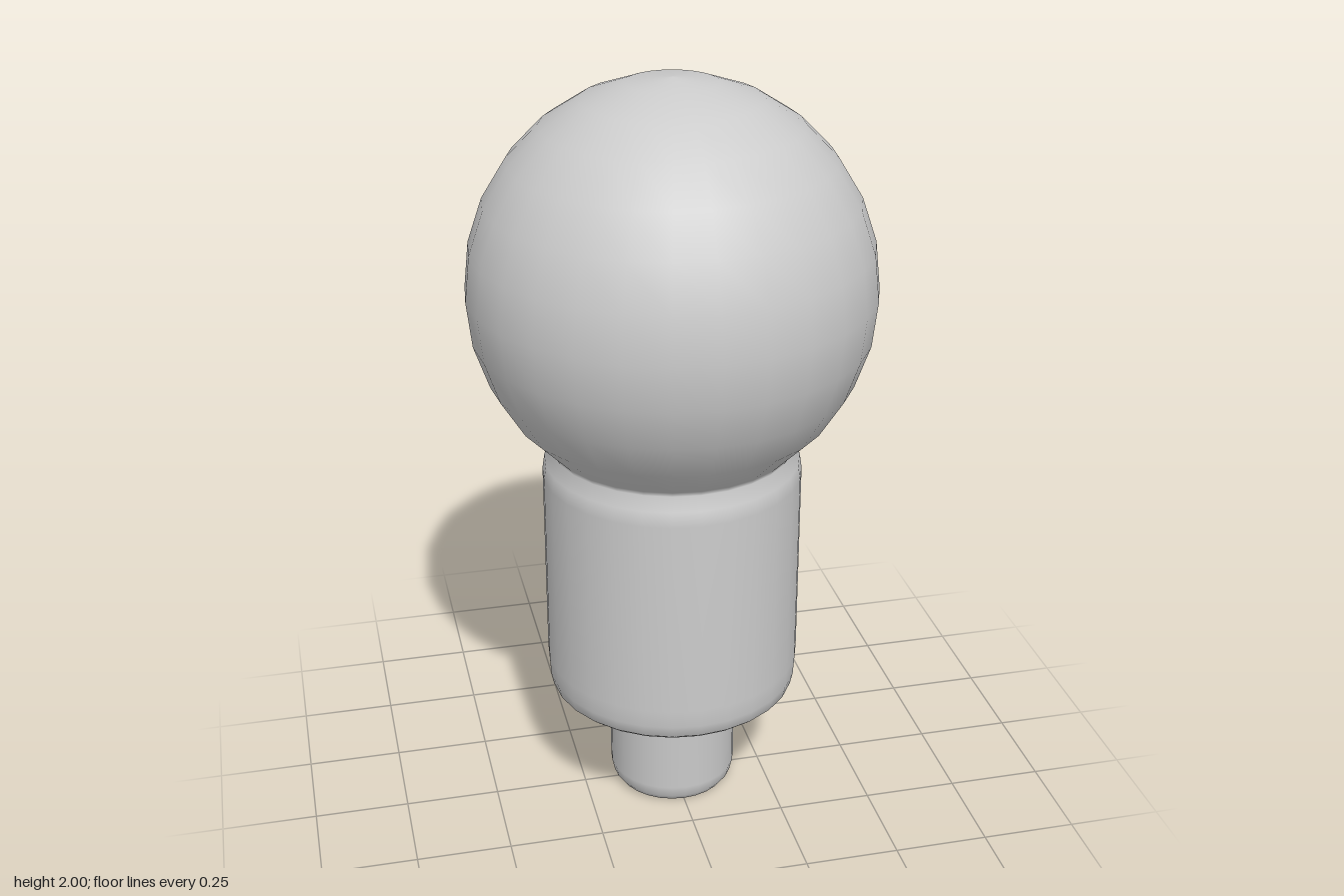
import * as THREE from 'three';

const SIDES = 28;

export function createModel() {
  const group = new THREE.Group();
  group.name = 'ballHeadedPin';

  // Peg with rounded foot, and the stepped underside of the barrel
  const peg = [
    [0, 0.005], [0.13, 0.005], [0.152, 0.01], [0.165, 0.028], [0.172, 0.06],
    [0.172, 0.24], [0.18, 0.28], [0.197, 0.307], [0.24, 0.325],
  ];

  // Barrel with rounded ends
  const barrel = [
    [0.315, 0.325], [0.33, 0.338], [0.337, 0.37], [0.34, 0.42],
    [0.34, 0.96], [0.334, 1.0], [0.315, 1.035],
  ];

  // Ball, from the neck up to the pole
  const ball = [];
  const step = (Math.PI * 2) / SIDES;
  for (let i = -4; i <= 7; i++) {
    const a = i * step;
    ball.push([i === 7 ? 0 : 0.52 * Math.cos(a), 1.467 + 0.533 * Math.sin(a)]);
  }

  // One continuous turned surface keeps the shading smooth across the steps
  const profile = [...peg, ...barrel, ...ball].map(([r, y]) => new THREE.Vector2(r, y));
  const mesh = new THREE.Mesh(
    new THREE.LatheGeometry(profile, SIDES),
    new THREE.MeshStandardMaterial({ color: 0xcccccc })
  );
  mesh.name = 'turnedPegBarrelAndBall';
  group.add(mesh);
  return group;
}
